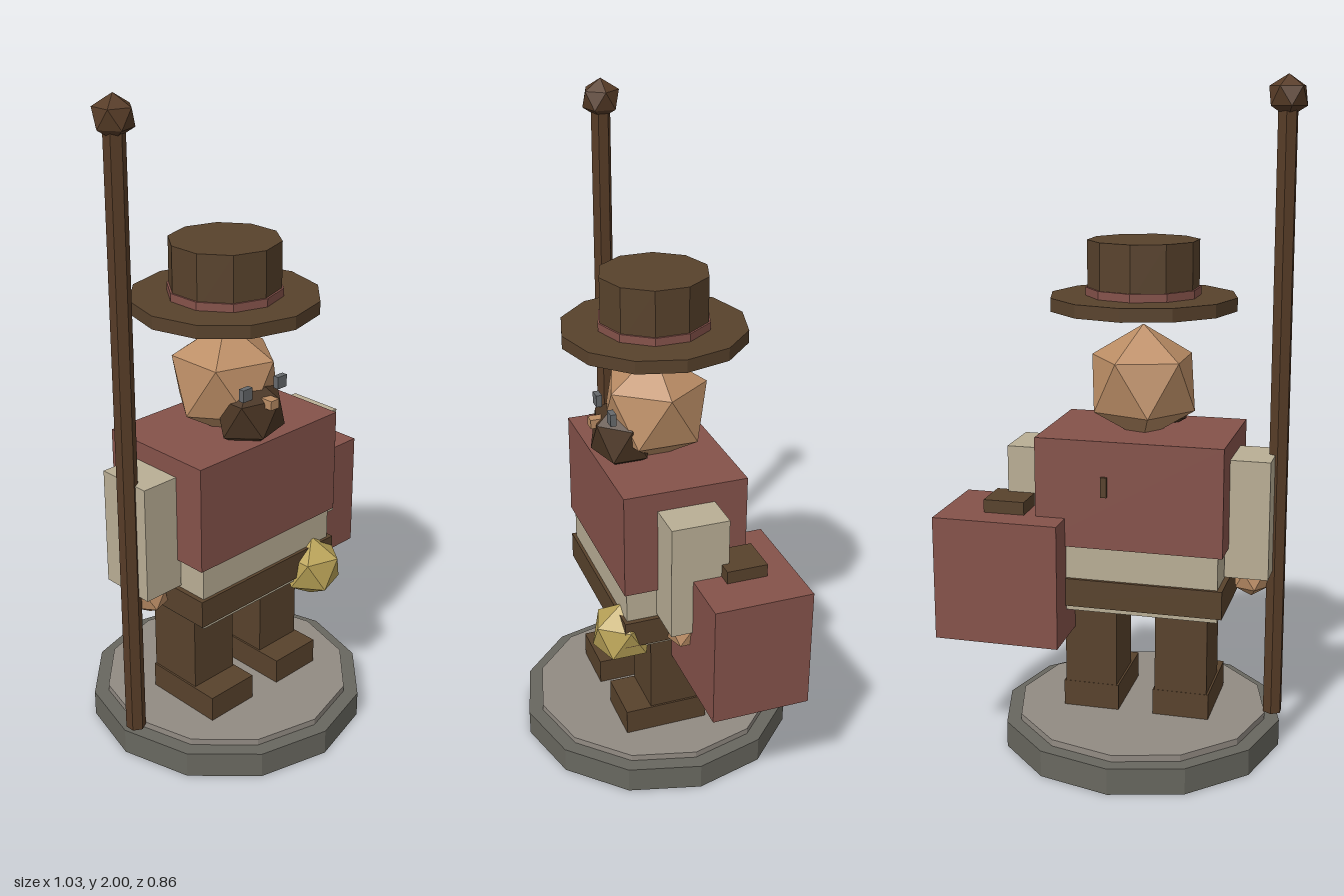
import * as THREE from 'three';

const paint = (name, color) => {
  const m = new THREE.MeshStandardMaterial({ color, flatShading: true });
  m.name = name;
  return m;
};

export function createModel() {
  const model = new THREE.Group();
  model.name = 'traveller';
  const CX = -0.055; // centre line of the figure

  const red = paint('brick red', 0x85524a);
  const cream = paint('cream cloth', 0xb9ae95);
  const brown = paint('leather brown', 0x58422c);
  const wood = paint('dark wood', 0x573c27);
  const beardBrown = paint('beard brown', 0x4b3624);
  const skin = paint('skin', 0xbb8d65);
  const gold = paint('gold', 0xb9a257);
  const stone = paint('light stone', 0x928b83);
  const darkStone = paint('dark stone', 0x68675f);
  const lensGrey = paint('lens grey', 0x66696c);

  const add = (name, geometry, material, x, y, z) => {
    const mesh = new THREE.Mesh(geometry, material);
    mesh.name = name;
    mesh.position.set(x, y, z);
    model.add(mesh);
    return mesh;
  };
  // Box given by its size, centre x, bottom and top y, centre z
  const box = (name, mat, w, d, x, y0, y1, z = 0) =>
    add(name, new THREE.BoxGeometry(w, y1 - y0, d), mat, x, (y0 + y1) / 2, z);
  // Upright prism with n sides
  const prism = (name, mat, r, n, x, y0, y1, z = 0) =>
    add(name, new THREE.CylinderGeometry(r, r, y1 - y0, n), mat, x, (y0 + y1) / 2, z);
  // Icosahedron standing on a vertex
  const ball = (name, mat, rx, ry, rz, x, y, z) => {
    const g = new THREE.IcosahedronGeometry(1, 0);
    g.rotateZ(-Math.atan(2 / (1 + Math.sqrt(5))));
    g.scale(rx, ry, rz);
    g.computeVertexNormals();
    return add(name, g, mat, x, y, z);
  };

  // Stepped base
  prism('baseLower', darkStone, 0.43, 12, CX, 0, 0.08);
  prism('baseUpper', stone, 0.385, 12, CX, 0.08, 0.1);

  // Legs, boots, arms and hands, mirrored about the centre line
  for (const [side, s] of [['right', -1], ['left', 1]]) {
    box(side + 'Leg', brown, 0.16, 0.18, CX + s * 0.14, 0.1, 0.46);
    box(side + 'Boot', brown, 0.172, 0.262, CX + s * 0.14, 0.1, 0.18, 0.04);
    box(side + 'Arm', cream, 0.13, 0.176, CX + s * 0.333, 0.56, 0.917);
    ball(side + 'Hand', skin, 0.06, 0.06, 0.06, CX + s * 0.333, 0.53, 0.02);
    box(side + 'Lens', lensGrey, 0.036, 0.018, CX + s * 0.07, 1.11, 1.147, 0.155);
  }

  // Body
  box('shirt', cream, 0.53, 0.36, CX, 0.45, 0.7);
  box('belt', brown, 0.56, 0.38, CX, 0.465, 0.55);
  box('vest', red, 0.56, 0.38, CX, 0.65, 0.975);
  box('backTab', brown, 0.018, 0.02, 0.015, 0.81, 0.87, -0.19);

  // Head
  ball('head', skin, 0.175, 0.175, 0.175, CX, 1.115, 0);
  ball('beard', beardBrown, 0.123, 0.115, 0.1, CX, 1.04, 0.105);
  box('nose', skin, 0.032, 0.04, CX, 1.076, 1.104, 0.183);

  // Hat
  prism('hatBrim', brown, 0.278, 12, CX, 1.337, 1.376);
  prism('hatBand', red, 0.17, 10, CX, 1.376, 1.4);
  prism('hatCrown', brown, 0.164, 10, CX, 1.376, 1.537);

  // Staff
  prism('staff', wood, 0.03, 6, -0.46, 0.1, 1.93, 0.024);
  ball('staffKnob', wood, 0.061, 0.06, 0.061, -0.46, 1.94, 0.023);

  // Suitcase
  box('suitcase', red, 0.38, 0.3, 0.325, 0.36, 0.736, -0.128);
  box('suitcaseHandle', brown, 0.125, 0.125, 0.323, 0.73, 0.775, -0.128);

  // Gold ball at the hip
  ball('goldBall', gold, 0.1, 0.1, 0.1, 0.145, 0.472, 0.175);

  return model;
}
